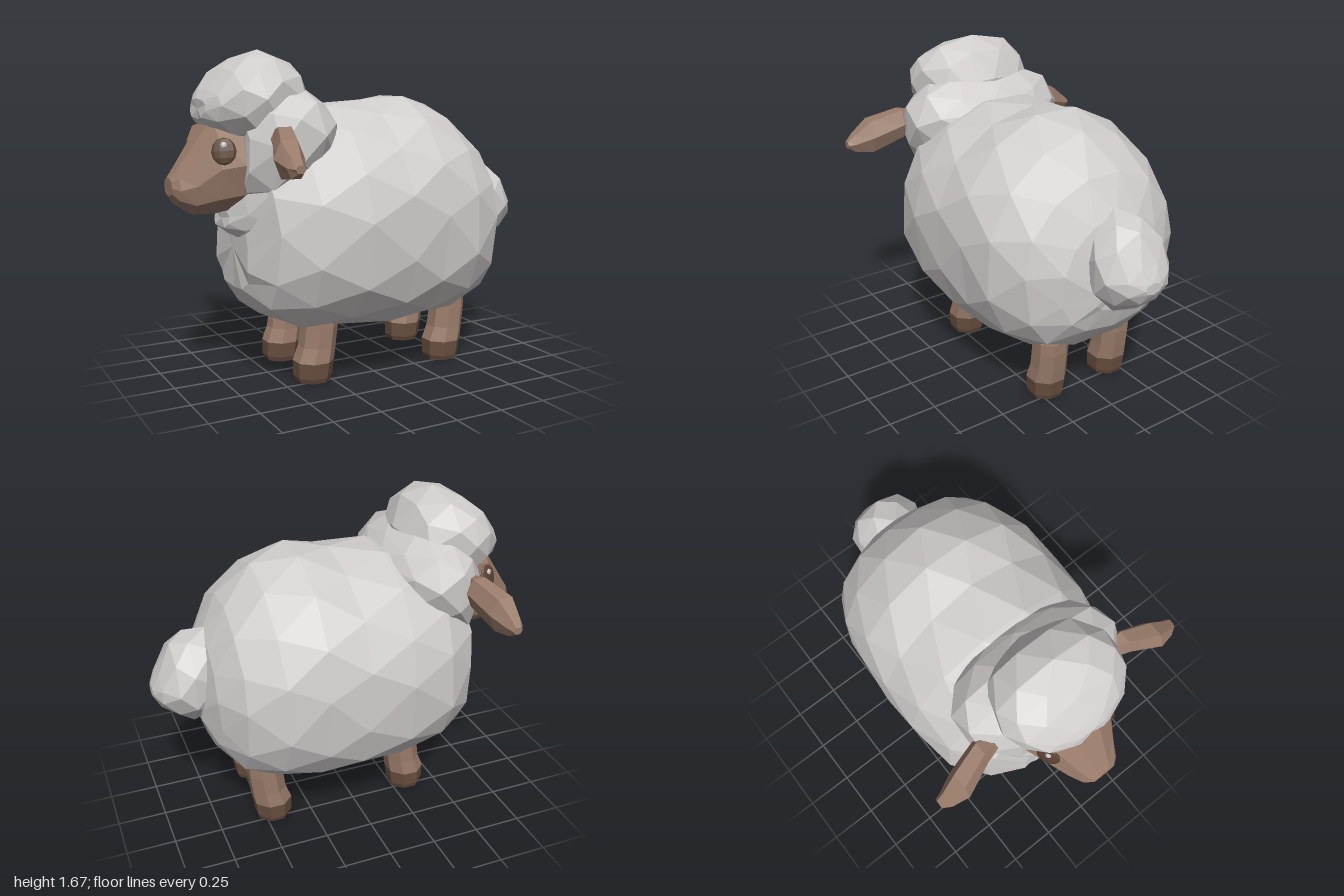
import * as THREE from 'three';

const material = (name, color) => {
  const m = new THREE.MeshStandardMaterial({ color, flatShading: true });
  m.name = name;
  return m;
};

// Repeatable value in -1..1
const noise = (a, b) => {
  const s = Math.sin(a * 12.9 + b * 7.3 + 1.7) * 97;
  return (s - Math.floor(s)) * 2 - 1;
};

// Faceted skin over cross-sections along x.
// Each ring is [x, yMid, yTop, yBottom, halfWidth, zCentre = 0].
// Lower powers make the upper or lower half of the section squarer.
function loft(rings, { sides = 12, power = 0.9, lowPower = power, jitter = 0, stagger = true } = {}) {
  const bend = (v, p) => Math.sign(v) * Math.pow(Math.abs(v), p);
  const points = rings.map(([x, mid, top, bottom, w, zc = 0], i) => {
    const row = [];
    for (let j = 0; j < sides; j++) {
      const t = ((j + (stagger ? (i % 2) / 2 : 0.5)) / sides) * Math.PI * 2;
      const p = Math.cos(t) > 0 ? power : lowPower;
      const c = bend(Math.cos(t), p), s = bend(Math.sin(t), p);
      const k = 1 + jitter * noise(i, Math.cos(t) * 5);
      const dx = jitter * 0.7 * noise(i + 20, Math.cos(t) * 5);
      row.push([x + dx, mid + c * k * (c > 0 ? top - mid : mid - bottom), zc + s * k * w]);
    }
    return row;
  });
  const pos = [];
  const tri = (...corners) => corners.forEach((p) => pos.push(...p));
  const last = rings.length - 1;
  const centre = (r) => [r[0], (r[2] + r[3]) / 2, r[5] || 0];
  for (let j = 0; j < sides; j++) {
    const n = (j + 1) % sides;
    tri(centre(rings[0]), points[0][n], points[0][j]);
    tri(centre(rings[last]), points[last][j], points[last][n]);
    for (let i = 0; i < last; i++) {
      const a = points[i][j], b = points[i][n], c = points[i + 1][j], d = points[i + 1][n];
      if (stagger && i % 2 === 0) { tri(a, b, c); tri(b, d, c); }
      else { tri(a, b, d); tri(a, d, c); }
    }
  }
  const g = new THREE.BufferGeometry();
  g.setAttribute('position', new THREE.Float32BufferAttribute(pos, 3));
  g.computeVertexNormals();
  return g;
}

export function createModel() {
  const model = new THREE.Group();
  model.name = 'sheep';
  const wool = material('wool', 0xd0cdcc);
  const skin = material('skin', 0x997b6a);
  const hoofDark = material('hoof', 0x694f40);
  const eyeDark = material('eye', 0x5a4233);
  const shine = material('eyeShine', 0xc8c8c8);

  const add = (name, geometry, mat, parent = model) => {
    const mesh = new THREE.Mesh(geometry, mat);
    mesh.name = name;
    parent.add(mesh);
    return mesh;
  };

  // Fleece
  add('body', loft([
    [-0.68, 0.66, 0.9, 0.48, 0.22],
    [-0.6, 0.8, 1.22, 0.355, 0.41],
    [-0.43, 0.84, 1.34, 0.275, 0.53],
    [-0.2, 0.85, 1.4, 0.26, 0.585],
    [0.04, 0.85, 1.41, 0.25, 0.59],
    [0.24, 0.85, 1.45, 0.245, 0.575],
    [0.45, 0.83, 1.375, 0.27, 0.545],
    [0.62, 0.8, 1.225, 0.33, 0.455],
    [0.725, 0.75, 1.05, 0.46, 0.31],
    [0.775, 0.7, 0.85, 0.58, 0.16],
  ], { sides: 14, power: 1.04, lowPower: 0.72, jitter: 0.014 }), wool);

  add('neckRuff', loft([
    [-0.69, 1.17, 1.39, 0.94, 0.28],
    [-0.6, 1.21, 1.46, 0.88, 0.42],
    [-0.5, 1.26, 1.49, 0.9, 0.46],
    [-0.38, 1.26, 1.51, 0.95, 0.45],
    [-0.28, 1.25, 1.43, 1.0, 0.37],
    [-0.215, 1.25, 1.37, 1.1, 0.24],
  ], { sides: 10, jitter: 0.014 }), wool);

  add('chestWool', loft([
    [-0.735, 0.84, 0.89, 0.79, 0.1],
    [-0.69, 0.88, 1.04, 0.75, 0.22],
    [-0.6, 0.92, 1.15, 0.68, 0.36],
    [-0.4, 0.9, 1.1, 0.65, 0.42],
  ], { sides: 10, jitter: 0.02 }), wool);

  add('headWool', loft([
    [-0.845, 1.39, 1.43, 1.33, 0.11],
    [-0.81, 1.4, 1.475, 1.28, 0.22],
    [-0.72, 1.42, 1.58, 1.22, 0.305],
    [-0.63, 1.43, 1.63, 1.18, 0.34],
    [-0.54, 1.43, 1.665, 1.15, 0.33],
    [-0.4, 1.42, 1.61, 1.15, 0.27],
    [-0.32, 1.41, 1.47, 1.25, 0.16],
  ], { sides: 10, jitter: 0.014 }), wool);

  add('tail', loft([
    [0.7, 0.83, 1.08, 0.61, 0.17],
    [0.81, 0.81, 1.065, 0.585, 0.21],
    [0.89, 0.81, 1.02, 0.63, 0.195],
    [0.965, 0.79, 0.88, 0.69, 0.13],
    [1.0, 0.78, 0.81, 0.75, 0.05],
  ], { sides: 8, power: 1.05 }), wool);

  // Face
  add('face', loft([
    [-1.0, 1.01, 1.055, 0.965, 0.065],
    [-0.97, 1.0, 1.095, 0.92, 0.105],
    [-0.9, 1.02, 1.2, 0.87, 0.145],
    [-0.8, 1.1, 1.345, 0.865, 0.2],
    [-0.69, 1.12, 1.37, 0.885, 0.245],
    [-0.5, 1.12, 1.34, 0.97, 0.22],
  ], { sides: 10, stagger: false }), skin);

  // Ears and eyes, mirrored across z
  const earGeometry = loft([
    [0.36, 1.25, 1.3, 1.2, 0.045, 0.575],
    [0.44, 1.235, 1.32, 1.15, 0.062, 0.582],
    [0.6, 1.18, 1.275, 1.08, 0.075, 0.635],
    [0.69, 1.15, 1.2, 1.095, 0.045, 0.645],
    [0.73, 1.145, 1.165, 1.125, 0.025, 0.64],
  ], { sides: 6, stagger: false }).rotateY(-Math.PI / 2);
  const outward = new THREE.Vector3(-0.42, 0.25, 0.87).normalize();
  for (const side of [1, -1]) {
    const half = new THREE.Group();
    half.name = side > 0 ? 'earAndEye' : 'earAndEyeOpposite';
    half.scale.z = side;
    model.add(half);
    add('ear', earGeometry, skin, half);
    const eye = new THREE.Group();
    eye.name = 'eyeGroup';
    eye.position.set(-0.785, 1.187, 0.192);
    eye.quaternion.setFromUnitVectors(new THREE.Vector3(0, 0, 1), outward);
    half.add(eye);
    add('eye', new THREE.SphereGeometry(0.06, 10, 6).scale(1, 1.1, 0.28), eyeDark, eye);
    add('eyeShine', new THREE.SphereGeometry(0.016, 6, 4).scale(1, 1, 0.6), shine, eye).position.set(0.002, 0.028, 0.014);
  }

  // Legs: sections are [height, x, radius]
  const hoofSections = [[0, 0, 0.09], [0.025, 0, 0.1], [0.105, 0.005, 0.106]];
  const legSections = [[0.105, 0.005, 0.106], [0.18, 0.025, 0.097], [0.28, 0.038, 0.096], [0.34, 0.04, 0.094]];
  const limb = (sections, x, z) => loft(
    sections.map(([h, dx, r]) => [h, -x - dx, -x - dx + r, -x - dx - r, r, z]),
    { sides: 8, power: 1, stagger: false },
  ).rotateZ(Math.PI / 2);
  for (const [name, x] of [['front', -0.335], ['back', 0.45]]) {
    for (const z of [0.2, -0.2]) {
      add(name + 'Leg', limb(legSections, x, z), skin);
      add(name + 'Hoof', limb(hoofSections, x, z), hoofDark);
    }
  }
  return model;
}
